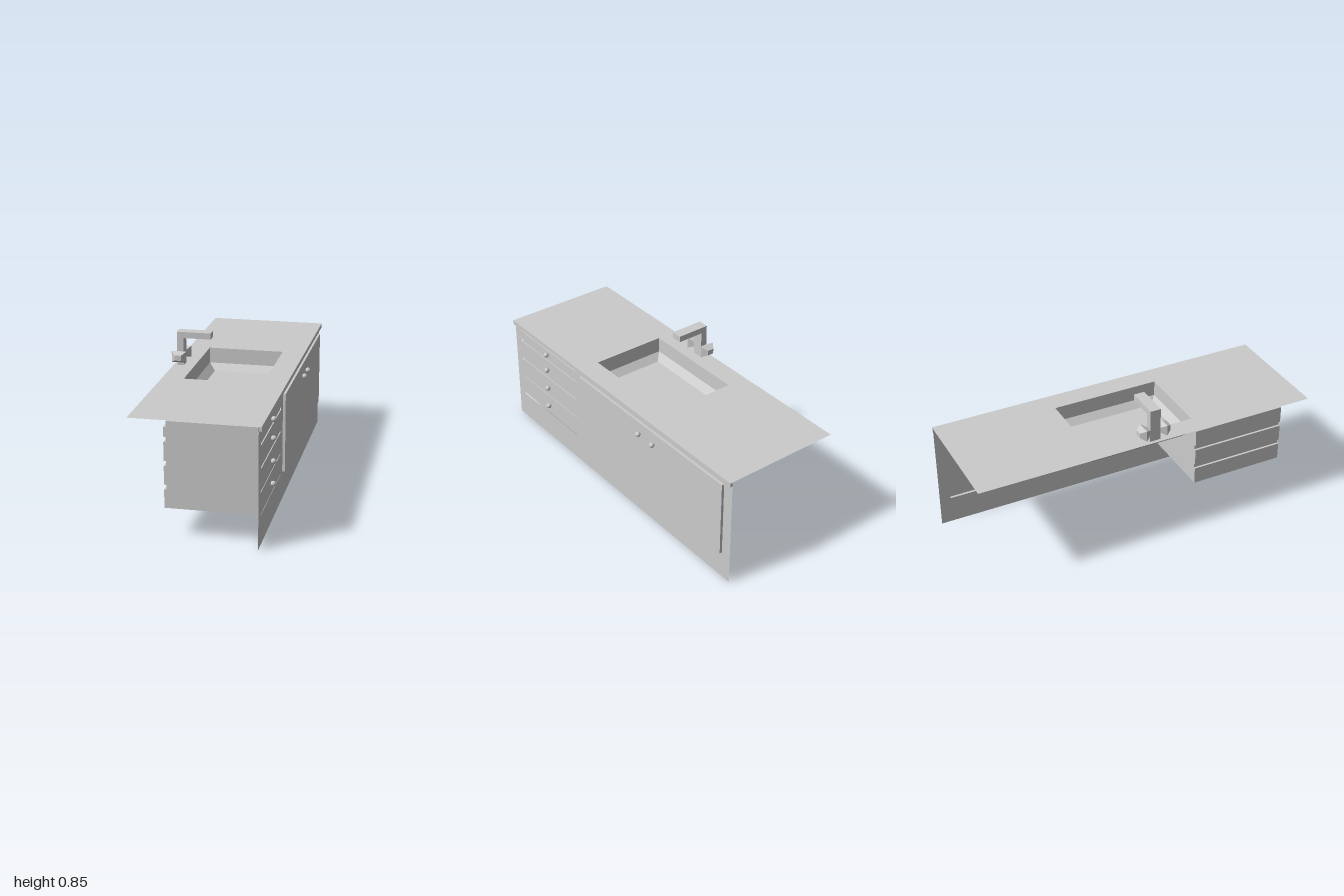
import * as THREE from 'three';

const material = new THREE.MeshStandardMaterial({ color: 0xcccccc, flatShading: true, side: THREE.DoubleSide });
const smooth = new THREE.MeshStandardMaterial({ color: 0xcccccc });

const TOP = 0.655, FRONT = 0.313, DOOR = 0.328;

function polygon(Type, points) {
  return new Type(points.map(([x, y]) => new THREE.Vector2(x, y)));
}

function rect(Type, x0, x1, y0, y1) {
  return polygon(Type, [[x0, y0], [x1, y0], [x1, y1], [x0, y1]]);
}

// Joins rectangular rings [y, x0, x1, z0, z1] with walls and caps the last one
function rectLoft(rings, capStart = false) {
  const corners = rings.map(([y, x0, x1, z0, z1]) => [[x0, y, z0], [x0, y, z1], [x1, y, z1], [x1, y, z0]]);
  const pos = [];
  const quad = (a, b, c, d) => pos.push(...a, ...b, ...c, ...a, ...c, ...d);
  for (let r = 0; r < corners.length - 1; r++) {
    const a = corners[r], b = corners[r + 1];
    for (let i = 0; i < 4; i++) {
      const j = (i + 1) % 4;
      quad(a[i], a[j], b[j], b[i]);
    }
  }
  quad(...corners[corners.length - 1]);
  if (capStart) quad(...[...corners[0]].reverse());
  const geometry = new THREE.BufferGeometry();
  geometry.setAttribute('position', new THREE.Float32BufferAttribute(pos, 3));
  geometry.computeVertexNormals();
  return geometry;
}

export function createModel() {
  const group = new THREE.Group();
  const add = (name, geometry, mat = material) => {
    const mesh = new THREE.Mesh(geometry, mat);
    mesh.name = name;
    group.add(mesh);
    return mesh;
  };

  // Countertop sheet with the sink opening, and its front lip
  const top = rect(THREE.Shape, -0.355, FRONT, -1, 1);
  top.holes.push(rect(THREE.Path, -0.235, 0.2, -0.31, 0.317));
  add('countertop', new THREE.ShapeGeometry(top).rotateX(-Math.PI / 2).translate(0, TOP, 0));
  add('countertopLip', new THREE.BoxGeometry(DOOR - FRONT, 0.025, 2))
    .position.set((FRONT + DOOR) / 2, TOP - 0.0125, 0);

  // Sink with straight walls and a bevelled floor
  add('sink', rectLoft([
    [TOP, -0.235, 0.2, -0.317, 0.31],
    [0.565, -0.235, 0.2, -0.317, 0.31],
    [0.527, -0.197, 0.165, -0.28, 0.273],
  ]));

  // Front panel, open behind the door and the drawers
  const panel = rect(THREE.Shape, -1, 1, 0, 0.63);
  panel.holes.push(rect(THREE.Path, -0.315, 0.937, 0.16, 0.605));
  panel.holes.push(rect(THREE.Path, -0.94, -0.375, 0.16, 0.63));
  add('frontPanel', new THREE.ShapeGeometry(panel).rotateY(Math.PI / 2).translate(FRONT, 0, 0));

  // Raised door, hollow at the back
  add('door', rectLoft([
    [FRONT, -0.605, -0.16, -0.937, 0.315],
    [DOOR, -0.605, -0.16, -0.937, 0.315],
  ]).rotateZ(-Math.PI / 2).scale(1, 1, 1));

  // Drawer block: slits between the drawer fronts, notches at the back
  const profile = [[-0.185, 0.162], [FRONT - 0.006, 0.162], [FRONT - 0.006, 0.167], [FRONT, 0.167]];
  for (const [y0, y1, depth] of [[0.285, 0.291, 0.006], [0.41, 0.42, 0.006], [0.535, 0.55, 0.006]]) {
    profile.push([FRONT, y0], [FRONT - depth, y0], [FRONT - depth, y1], [FRONT, y1]);
  }
  profile.push([FRONT, 0.605], [FRONT - 0.012, 0.605], [FRONT - 0.012, 0.63], [-0.172, 0.63], [-0.172, 0.597], [-0.185, 0.597]);
  for (const [y1, y0] of [[0.546, 0.517], [0.417, 0.389], [0.288, 0.262]]) {
    profile.push([-0.185, y1], [-0.172, y1], [-0.172, y0], [-0.185, y0]);
  }
  add('drawers', new THREE.ExtrudeGeometry(polygon(THREE.Shape, profile), { depth: 0.565, bevelEnabled: false })
    .translate(0, 0, 0.375));

  // Round knobs
  const knob = new THREE.SphereGeometry(0.0148, 16, 12);
  for (const y of [0.58, 0.476, 0.35, 0.225]) add('drawerKnob', knob, smooth).position.set(0.326, y, 0.657);
  for (const z of [-0.252, -0.375]) add('doorKnob', knob, smooth).position.set(0.341, 0.536, z);

  // Angular faucet
  const faucet = polygon(THREE.Shape, [
    [-0.335, TOP], [-0.297, TOP], [-0.297, 0.812], [-0.142, 0.812], [-0.142, 0.847], [-0.335, 0.847],
  ]);
  add('faucet', new THREE.ExtrudeGeometry(faucet, { depth: 0.062, bevelEnabled: false }));

  // Faceted tap handles on both sides of the faucet
  const handle = rectLoft([
    [-0.031, -0.019, 0.019, -0.015, 0.015],
    [0, -0.042, 0.042, -0.032, 0.032],
    [0.031, -0.019, 0.019, -0.015, 0.015],
  ], true).rotateX(Math.PI / 2);
  for (const z of [-0.031, 0.093]) add('tapHandle', handle).position.set(-0.316, 0.712, z);

  return group;
}
